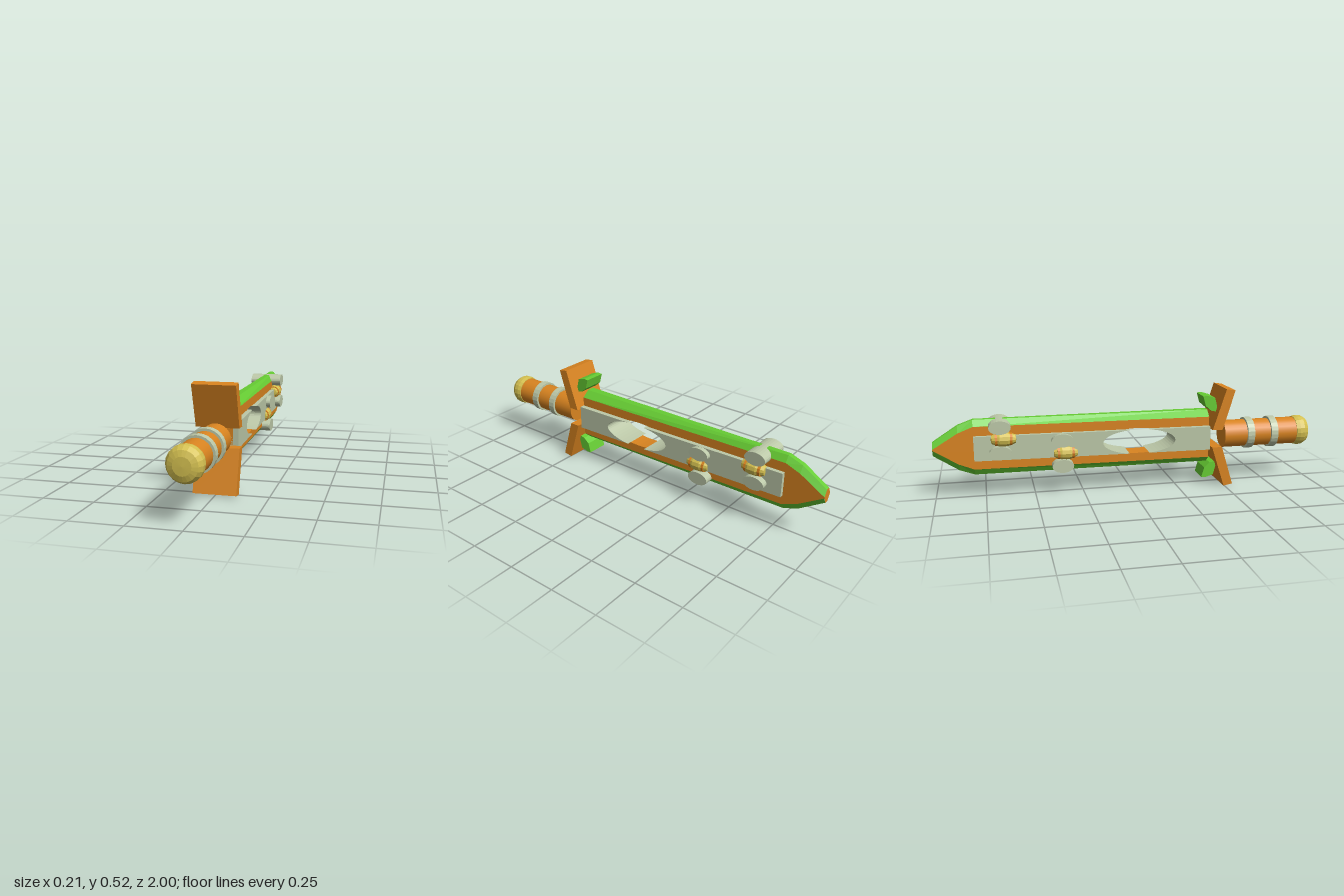
import * as THREE from 'three';

const mat = (name, color, flat = true) => {
  const m = new THREE.MeshStandardMaterial({ color, flatShading: flat });
  m.name = name;
  return m;
};

export function createModel() {
  const group = new THREE.Group();
  const orange = mat('orange', 0xd98420);
  const green = mat('green', 0x66cc33);
  const gray = mat('paleGray', 0xbcc8a8);
  const yellow = mat('yellow', 0xd4c050);
  const CY = 0.262; // height of the long axis

  const add = (name, geometry, material, x = 0, y = CY, z = 0) => {
    const m = new THREE.Mesh(geometry, material);
    m.name = name;
    m.position.set(x, y, z);
    group.add(m);
    return m;
  };

  // Extrudes a (z, y) outline across x; half(z) gives the half width
  const sidePlate = (points, half, hole) => {
    const shape = new THREE.Shape(points.map(([z, y]) => new THREE.Vector2(z, y)));
    if (hole) shape.holes.push(hole);
    const g = new THREE.ExtrudeGeometry(shape, { depth: 2, bevelEnabled: false, curveSegments: 24 });
    g.translate(0, 0, -1).rotateY(-Math.PI / 2);
    const p = g.attributes.position;
    for (let i = 0; i < p.count; i++) p.setX(i, p.getX(i) * half(p.getZ(i)));
    g.computeVertexNormals();
    return g;
  };
  const mirrorY = (pts) => pts.map(([z, y]) => [z, -y]);

  // Blade sections: z, shoulder height, edge height
  const sections = [[0.42, 0.11, 0.142], [-0.8, 0.11, 0.142], [-0.875, 0.08, 0.115], [-1, 0.003, 0.034]];
  const bladeHalf = (z) => 0.0497 + 0.0204 * z;
  const edgeHalf = (z) => 0.0173 + 0.0064 * z;
  const slabHalf = (z) => 0.074 + 0.0262 * z;

  // Blade core with the oval opening
  const upper = sections.map(([z, a]) => [z, a]);
  const hole = new THREE.Path().absellipse(0.04, 0, 0.192, 0.067, 0, Math.PI * 2, true);
  add('bladeCore', sidePlate([...upper, ...mirrorY(upper).reverse()], bladeHalf, hole), orange);

  // Bevelled cutting edges, top and bottom
  const edgeGeometry = (s) => {
    const rings = sections.map(([z, a, b]) => {
      const w = bladeHalf(z), t = edgeHalf(z);
      return [[w, a * s, z], [t, b * s, z], [-t, b * s, z], [-w, a * s, z]];
    });
    const v = [];
    const quad = (a, b, c, d) => {
      if (s > 0) v.push(...a, ...b, ...c, ...a, ...c, ...d);
      else v.push(...a, ...c, ...b, ...a, ...d, ...c);
    };
    for (let i = 0; i < rings.length - 1; i++) {
      for (let k = 0; k < 3; k++) {
        quad(rings[i][k], rings[i + 1][k], rings[i + 1][k + 1], rings[i][k + 1]);
      }
    }
    quad(...rings[0]);
    const g = new THREE.BufferGeometry();
    g.setAttribute('position', new THREE.Float32BufferAttribute(v, 3));
    g.computeVertexNormals();
    return g;
  };
  add('upperEdge', edgeGeometry(1), green);
  add('lowerEdge', edgeGeometry(-1), green);

  // Blunt six-sided tip
  const w = bladeHalf(-1), t = edgeHalf(-1), b = 0.034;
  const tip = new THREE.Shape([[w, 0], [t, b], [-t, b], [-w, 0], [-t, -b], [t, -b]].map((p) => new THREE.Vector2(...p)));
  add('bladeTip', new THREE.ShapeGeometry(tip).rotateY(Math.PI), orange, 0, CY, -1);

  // Central slab, cut in two by the oval opening
  const slabPart = (end, side) => {
    const pts = [[end, -0.0625], [end, 0.0625]];
    for (let i = 0; i <= 20; i++) {
      const a = 1.292 * (1 - i / 10);
      pts.push([0.04 + side * 0.19 * Math.cos(a), 0.065 * Math.sin(a)]);
    }
    return sidePlate(pts, slabHalf);
  };
  add('rearSlab', slabPart(0.42, 1), gray);
  add('frontSlab', slabPart(-0.8, -1), gray);

  // Oval cross pegs
  for (const [z, y] of [[-0.36, 0.29], [-0.36, 0.156], [-0.67, 0.372], [-0.67, 0.242]]) {
    const peg = new THREE.CylinderGeometry(1, 1, 0.176, 24).rotateZ(Math.PI / 2).scale(1, 0.034, 0.055);
    add('crossPeg', peg, gray, 0, y, z);
  }

  // Small barrels between the pegs on both sides
  const lathe = (pts, n = 12) =>
    new THREE.LatheGeometry(pts.map((p) => new THREE.Vector2(...p)), n).rotateX(Math.PI / 2);
  for (const [z, y] of [[-0.343, 0.22], [-0.652, 0.306]]) {
    for (const s of [-1, 1]) {
      add('barrel', lathe([[0, -0.064], [0.022, -0.06], [0.029, -0.042], [0.037, -0.02], [0.037, 0.02],
        [0.029, 0.042], [0.022, 0.06], [0, 0.064]]), yellow, s * 0.05, y, z);
      for (const e of [-1, 1]) {
        add('barrelBand', new THREE.CylinderGeometry(0.033, 0.033, 0.014, 12).rotateX(Math.PI / 2),
          orange, s * 0.05, y, z + e * 0.036);
      }
    }
  }

  // Slanted guards with green wedges behind them
  const guard = [[0.544, 0.254], [0.496, 0.262], [0.426, 0.047], [0.48, 0.047]].reverse();
  const wedge = [[0.47, 0.133], [0.43, 0.142], [0.4, 0.168], [0.385, 0.22], [0.41, 0.222], [0.45, 0.21]];
  for (const [name, f] of [['upper', (p) => p], ['lower', mirrorY]]) {
    add(name + 'Guard', sidePlate(f(guard), () => 0.104), orange);
    add(name + 'Wedge', sidePlate(f(wedge), () => 0.058), green);
  }

  // Handle, rings and pommel
  const smoothOrange = orange.clone();
  smoothOrange.flatShading = false;
  const round = (r, len) => new THREE.CylinderGeometry(r, r, len, 24).rotateX(Math.PI / 2);
  add('handle', round(0.073, 0.43), smoothOrange, 0, CY, 0.725);
  for (const z of [0.655, 0.788]) add('handleRing', round(0.084, 0.038), gray, 0, CY, z);
  add('pommel', lathe([[0, 0.92], [0.076, 0.92], [0.081, 0.94], [0.08, 0.965], [0.066, 0.989], [0.04, 0.998], [0, 1]], 20),
    yellow);
  return group;
}
